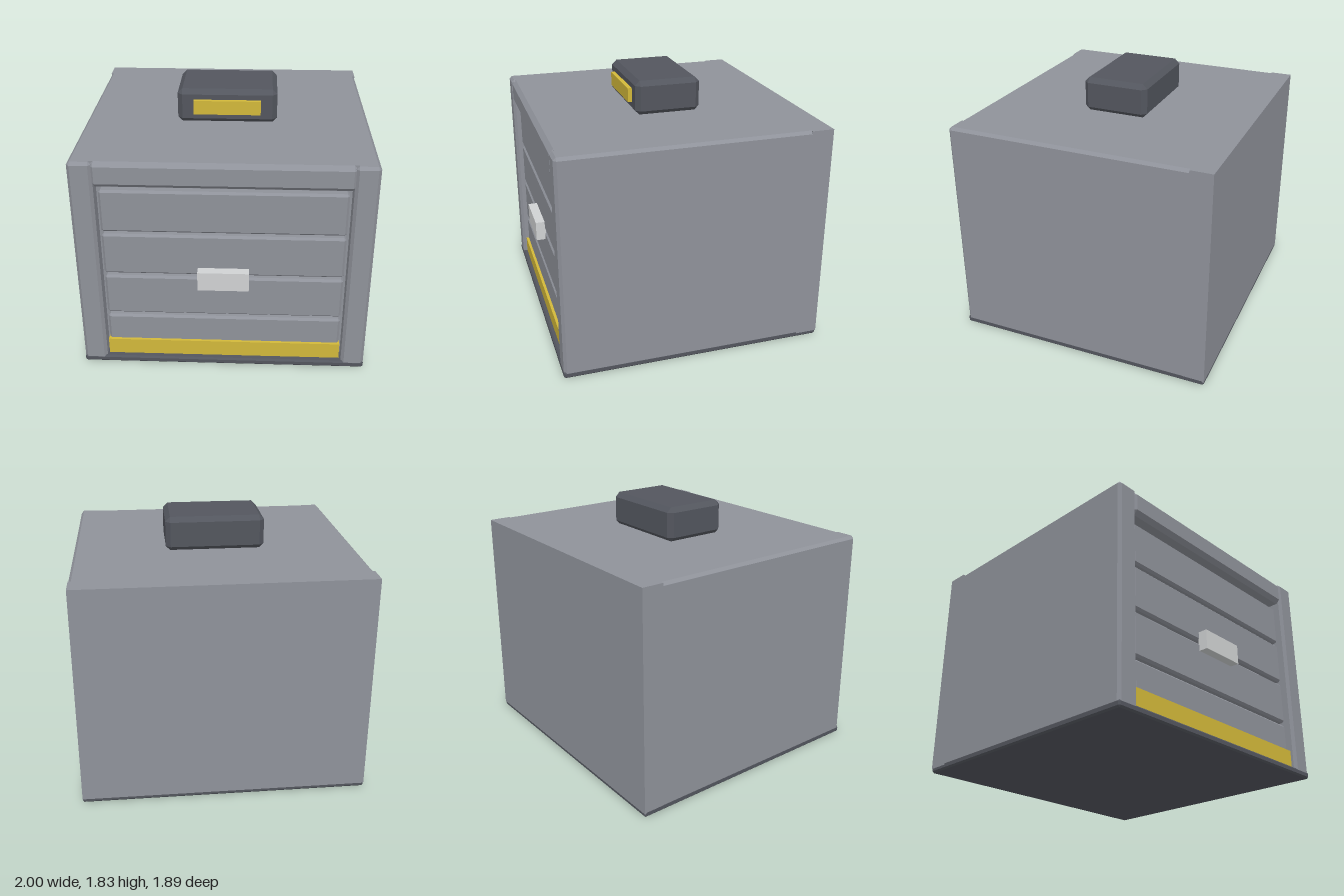
import * as THREE from 'three';
import { ConvexGeometry } from 'three/addons/geometries/ConvexGeometry.js';

const material = (name, color) => {
  const m = new THREE.MeshStandardMaterial({ color });
  m.name = name;
  return m;
};

// Box given by its limits, with all edges chamfered by c
function chamferedBox(x0, x1, y0, y1, z0, z1, c) {
  const h = [(x1 - x0) / 2, (y1 - y0) / 2, (z1 - z0) / 2];
  const points = [];
  for (const sx of [-1, 1]) for (const sy of [-1, 1]) for (const sz of [-1, 1]) {
    for (let axis = 0; axis < 3; axis++) {
      const p = h.map((v, i) => (i === axis ? v : v - c));
      points.push(new THREE.Vector3(p[0] * sx, p[1] * sy, p[2] * sz));
    }
  }
  return new ConvexGeometry(points).translate((x0 + x1) / 2, (y0 + y1) / 2, (z0 + z1) / 2);
}

function plainBox(x0, x1, y0, y1, z0, z1) {
  return new THREE.BoxGeometry(x1 - x0, y1 - y0, z1 - z0)
    .translate((x0 + x1) / 2, (y0 + y1) / 2, (z0 + z1) / 2);
}

export function createModel() {
  const grey = material('panel grey', 0x8f929a);
  const dark = material('dark grey', 0x53565e);
  const yellow = material('safety yellow', 0xd2b83a);
  const light = material('light grey', 0xd0d2d3);

  const model = new THREE.Group();
  model.name = 'shutterHousing';
  const add = (name, geometry, mat) => {
    const mesh = new THREE.Mesh(geometry, mat);
    mesh.name = name;
    model.add(mesh);
  };

  // Base and shell
  add('base', chamferedBox(-1, 1, 0, 0.05, -0.944, 0.93, 0.012), dark);
  add('leftWall', chamferedBox(0.84, 1, 0.02, 1.59, -0.82, 0.928, 0.02), grey);
  add('rightWall', chamferedBox(-1, -0.84, 0.02, 1.59, -0.82, 0.928, 0.02), grey);
  add('backWall', plainBox(-1, 1, 0.03, 1.59, -0.945, -0.79), grey);
  add('roof', plainBox(-0.98, 0.98, 1.45, 1.59, -0.8, 0.895), grey);
  add('lintel', chamferedBox(-0.86, 0.86, 1.41, 1.59, 0.75, 0.925, 0.03), grey);
  add('innerPanel', plainBox(-0.85, 0.85, 0.04, 1.46, 0.76, 0.82), grey);

  // Shutter slats
  for (let i = 0; i < 4; i++) {
    const y = 0.07 + i * 0.33;
    add('shutterSlat', chamferedBox(-0.82, 0.82, y, y + 0.31, 0.8, 0.88, 0.015), grey);
  }

  // Pale strips seen in the gaps between slats
  add('upperStrip', plainBox(-0.6, 0.6, 1.382, 1.402, 0.815, 0.825), light);
  add('lowerStrip', plainBox(-0.65, -0.06, 1.038, 1.066, 0.815, 0.825), light);

  // Bottom bar and handle
  add('bottomBar', plainBox(-0.825, 0.825, 0.06, 0.18, 0.85, 0.9), yellow);
  add('handlePlate', plainBox(-0.175, 0.175, 0.65, 0.79, 0.875, 0.945), light);

  // Roof unit with its lamp panel
  add('roofUnit', chamferedBox(-0.35, 0.35, 1.585, 1.83, -0.242, 0.226, 0.034), dark);
  add('lampPanel', plainBox(-0.235, 0.235, 1.66, 1.76, 0.2, 0.255), yellow);

  return model;
}
